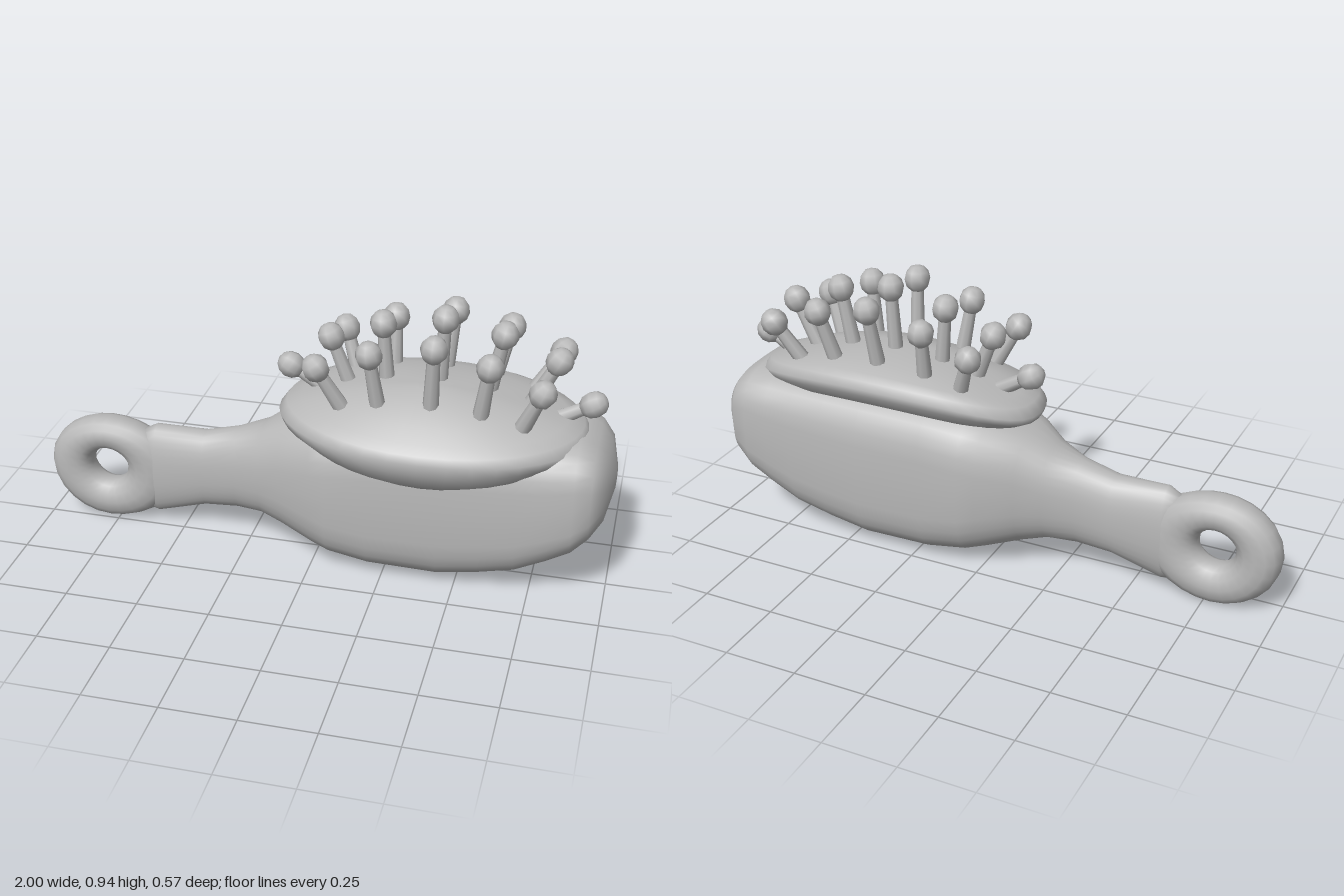
import * as THREE from 'three';

const grey = new THREE.MeshStandardMaterial({ color: 0xb8b8b8 });
grey.name = 'plain grey';

// Smooth skin over equal-sized rings of points; ends are capped unless the rings form a loop
function loft(name, rings, loop = false) {
  const n = rings[0].length, m = rings.length;
  const pos = rings.flat(2), index = [];
  for (let i = 0; i < (loop ? m : m - 1); i++) {
    for (let j = 0; j < n; j++) {
      const k = (j + 1) % n, a = i * n, b = ((i + 1) % m) * n;
      index.push(a + j, a + k, b + j, a + k, b + k, b + j);
    }
  }
  if (!loop) {
    [0, m - 1].forEach((r, end) => {
      const c = pos.length / 3;
      for (let d = 0; d < 3; d++) pos.push(rings[r].reduce((s, p) => s + p[d], 0) / n);
      for (let j = 0; j < n; j++) {
        const k = (j + 1) % n;
        if (end) index.push(c, r * n + j, r * n + k);
        else index.push(c, r * n + k, r * n + j);
      }
    });
  }
  const g = new THREE.BufferGeometry();
  g.setAttribute('position', new THREE.Float32BufferAttribute(pos, 3));
  g.setIndex(index);
  g.computeVertexNormals();
  const mesh = new THREE.Mesh(g, grey);
  mesh.name = name;
  return mesh;
}

const around = (n, f) => Array.from({ length: n }, (_, i) => f((i / n) * Math.PI * 2));
const power = (v, e) => Math.sign(v) * Math.pow(Math.abs(v), 2 / e);

// Handle neck and head: x, bottom, top, half width, squareness
function makeBody() {
  const stations = [
    [-0.66, 0.06, 0.36, 0.045, 2], [-0.6, 0.045, 0.388, 0.066, 2.3],
    [-0.42, 0.098, 0.385, 0.075, 2.3], [-0.3, 0.108, 0.415, 0.085, 2.3],
    [-0.2, 0.112, 0.45, 0.13, 2.4], [-0.12, 0.092, 0.505, 0.168, 2.6],
    [0, 0.055, 0.55, 0.222, 2.9], [0.06, 0.04, 0.56, 0.236, 3.2],
    [0.2, 0.02, 0.57, 0.238, 3.5], [0.44, 0.015, 0.575, 0.238, 3.5],
    [0.58, 0.04, 0.575, 0.238, 3.5], [0.7, 0.07, 0.575, 0.238, 3.5],
    [0.8, 0.12, 0.575, 0.238, 3.4], [0.88, 0.168, 0.575, 0.238, 3.4],
    [0.935, 0.225, 0.55, 0.225, 3.2], [0.975, 0.28, 0.51, 0.175, 2.8],
    [1, 0.37, 0.43, 0.05, 2],
  ];
  return loft('handleAndHead', stations.map(([x, lo, hi, w, e]) => around(32, t => [
    x,
    (lo + hi) / 2 + (hi - lo) / 2 * power(Math.cos(t), e),
    -0.048 + w * power(Math.sin(t), e),
  ])));
}

// Hanging loop at the end of the handle, swept around its hole
function makeLoop() {
  return loft('hangingLoop', around(24, a => {
    const c = Math.cos(a), s = Math.sin(a);
    const outer = 1 / Math.hypot(c / (c > 0 ? 0.25 : 0.22), s / (s > 0 ? 0.185 : 0.207));
    const inner = 0.066, mid = (outer + inner) / 2, half = (outer - inner) / 2;
    return around(14, t => {
      const r = mid + half * power(Math.sin(t), 2.2);
      return [-0.78 + r * c, 0.213 + r * s, -0.048 + 0.068 * power(Math.cos(t), 2.2)];
    });
  }), true);
}

// Domed cushion, tilted down to the front: plan scale, then height at front, ends and back
function makeCushion() {
  const layers = [
    [0.7, 0.405, 0.49, 0.53], [0.88, 0.44, 0.5, 0.56], [0.98, 0.495, 0.525, 0.6],
    [1, 0.535, 0.55, 0.625], [0.95, 0.56, 0.585, 0.65], [0.85, 0.585, 0.605, 0.667],
    [0.65, 0.628, 0.642, 0.681], [0.4, 0.668, 0.672, 0.689], [0.15, 0.689, 0.689, 0.692],
  ];
  return loft('cushion', layers.map(([s, front, ends, back]) => around(40, t => {
    const c = power(Math.cos(t), 2.2), d = power(Math.sin(t), 2.2);
    const y = ends + (c > 0 ? front - ends : back - ends) * c * c;
    return [0.385 + 0.525 * s * d, y, s * (0.28 * c - 0.035 * d * d)];
  })));
}

// One pin with a rounded tip
function makeBristle(base, tip) {
  const g = new THREE.Group();
  g.name = 'bristle';
  const a = new THREE.Vector3(...base), b = new THREE.Vector3(...tip);
  const dir = b.clone().sub(a);
  const pin = new THREE.Mesh(new THREE.CylinderGeometry(0.021, 0.028, dir.length(), 8), grey);
  pin.name = 'pin';
  pin.position.copy(a).lerp(b, 0.5);
  pin.quaternion.setFromUnitVectors(new THREE.Vector3(0, 1, 0), dir.normalize());
  const ball = new THREE.Mesh(new THREE.SphereGeometry(0.046, 8, 6), grey);
  ball.name = 'roundTip';
  ball.position.copy(b);
  ball.quaternion.copy(pin.quaternion);
  ball.scale.y = 1.06;
  g.add(pin, ball);
  return g;
}

export function createModel() {
  const model = new THREE.Group();
  model.name = 'hairbrush';
  model.add(makeBody(), makeLoop(), makeCushion());

  // Fan of bristles in three rows
  const bristles = new THREE.Group();
  bristles.name = 'bristles';
  const baseX = [0.1, 0.225, 0.395, 0.555, 0.695];
  const rows = [
    { base: -0.16, tip: -0.195, x: [0.05, 0.22, 0.42, 0.61, 0.785], y: [0.77, 0.83, 0.873, 0.835, 0.765] },
    { base: -0.048, tip: -0.048, x: [0.03, 0.205, 0.41, 0.605, 0.785], y: [0.8, 0.865, 0.903, 0.868, 0.795] },
    { base: 0.1, tip: 0.128, x: [0.02, 0.195, 0.405, 0.585, 0.755], y: [0.765, 0.83, 0.873, 0.83, 0.76] },
  ];
  for (const r of rows) {
    baseX.forEach((x, i) => bristles.add(makeBristle([x, 0.62, r.base], [r.x[i], r.y[i], r.tip])));
  }
  bristles.add(makeBristle([0.02, 0.605, -0.048], [-0.108, 0.68, -0.048]));
  bristles.add(makeBristle([0.79, 0.59, -0.048], [0.905, 0.655, -0.048]));
  model.add(bristles);
  return model;
}
